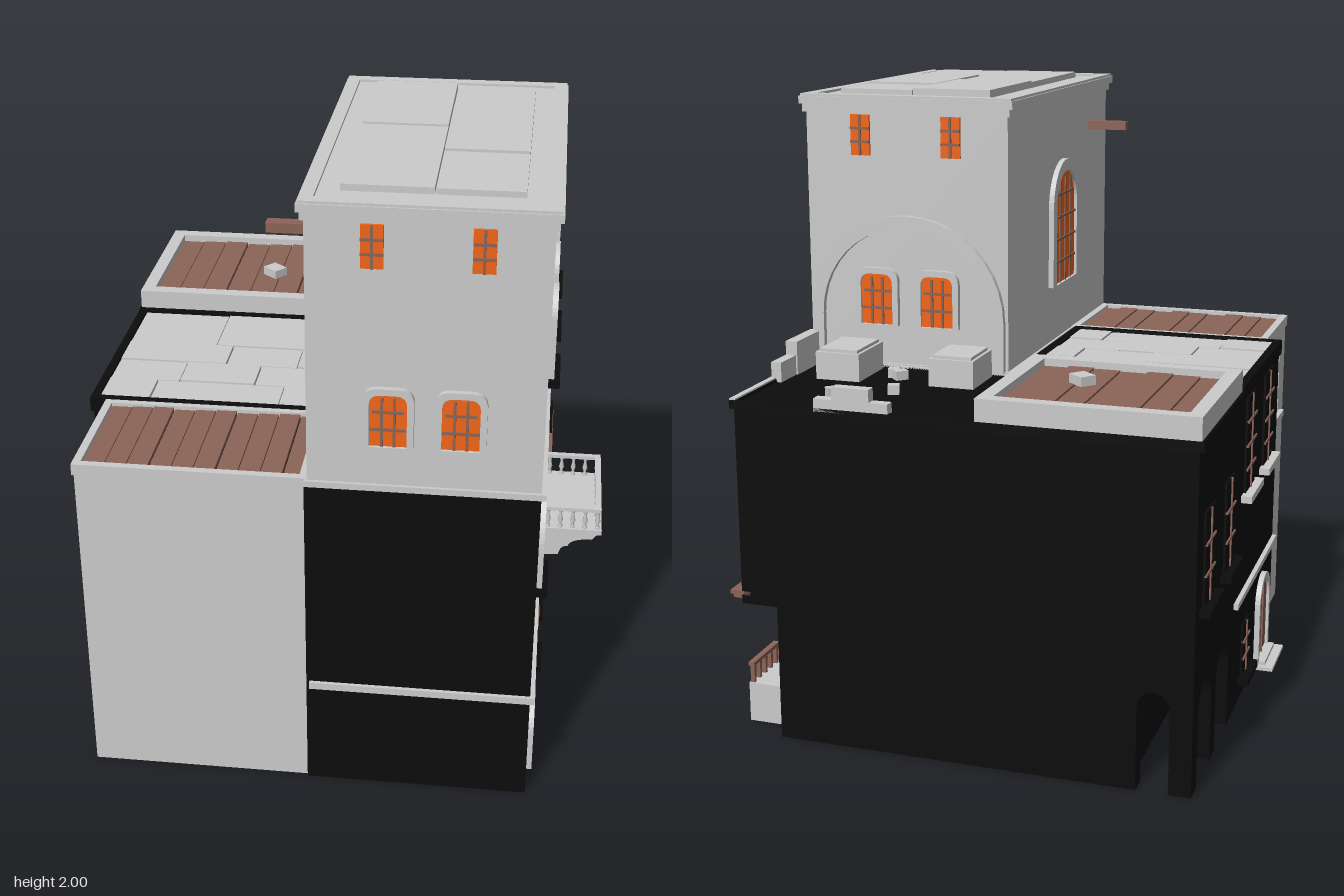
import * as THREE from 'three';

const mat = (color) => new THREE.MeshStandardMaterial({ color, side: THREE.DoubleSide });

export function createModel() {
  const model = new THREE.Group();
  const grey = mat(0xcccccc), black = mat(0x0c0c0c), brown = mat(0x8c6457), orange = mat(0xf36517), blue = mat(0x3a7a9a);

  const add = (name, geo, m, parent = model) => {
    const mesh = new THREE.Mesh(geo, m);
    mesh.name = name;
    parent.add(mesh);
    return mesh;
  };
  const box = (name, x0, x1, y0, y1, z0, z1, m, parent) => {
    const b = add(name, new THREE.BoxGeometry(x1 - x0, y1 - y0, z1 - z0), m, parent);
    b.position.set((x0 + x1) / 2, (y0 + y1) / 2, (z0 + z1) / 2);
    return b;
  };
  // Open wall strip along a path of [x, z] points
  const wall = (name, pts, y0, y1, m) => {
    const v = [];
    for (let i = 0; i < pts.length - 1; i++) {
      const [ax, az] = pts[i], [bx, bz] = pts[i + 1];
      v.push(ax, y0, az, bx, y0, bz, bx, y1, bz, ax, y0, az, bx, y1, bz, ax, y1, az);
    }
    const g = new THREE.BufferGeometry();
    g.setAttribute('position', new THREE.Float32BufferAttribute(v, 3));
    g.computeVertexNormals();
    return add(name, g, m);
  };
  // Square rim of four bars around a roof
  const rim = (name, x0, x1, y0, y1, z0, z1, t, m) => {
    box(name, x0, x1, y0, y1, z0, z0 + t, m);
    box(name, x0, x1, y0, y1, z1 - t, z1, m);
    box(name, x0, x0 + t, y0, y1, z0 + t, z1 - t, m);
    box(name, x1 - t, x1, y0, y1, z0 + t, z1 - t, m);
  };
  const extrude = (shape, depth) => new THREE.ExtrudeGeometry(shape, { depth, bevelEnabled: false, curveSegments: 10 });

  // Opening outline: flat, soft, round or pointed head
  const opening = (Type, w, h, head, y = 0) => {
    const s = new Type(), a = w / 2, t = y + h;
    s.moveTo(-a, y);
    s.lineTo(a, y);
    if (head === 'round') s.absarc(0, t - a, a, 0, Math.PI, false);
    else if (head === 'pointed') {
      s.lineTo(a, t - w);
      s.quadraticCurveTo(a, t - w * 0.4, 0, t);
      s.quadraticCurveTo(-a, t - w * 0.4, -a, t - w);
    } else {
      const r = head === 'soft' ? w * 0.3 : 0;
      s.lineTo(a, t - r);
      if (r) s.quadraticCurveTo(a, t, a - r, t);
      else s.lineTo(a, t);
      s.lineTo(-a + r, t);
      if (r) s.quadraticCurveTo(-a, t, -a, t - r);
    }
    s.closePath();
    return s;
  };
  // Window or door in its own group, facing local +z
  const window_ = (name, pos, turn, w, h, o = {}) => {
    const { head = 'flat', pane = black, frame = null, t = 0.02, cols = 2, rows = 3, bars = brown, sill = null } = o;
    const g = new THREE.Group();
    g.name = name;
    g.position.set(...pos);
    g.rotation.y = turn;
    model.add(g);
    add('pane', extrude(opening(THREE.Shape, w, h, head), 0.03), pane, g).position.z = -0.022;
    if (frame) {
      const s = opening(THREE.Shape, w + 2 * t, h + t, head);
      s.holes.push(opening(THREE.Path, w, h - 0.002, head, 0.002));
      add('frame', extrude(s, 0.03), frame, g).position.z = -0.012;
    }
    const thin = 0.004;
    for (let i = 1; i < cols; i++) {
      const x = -w / 2 + (w * i) / cols;
      const drop = cols === 2 || head === 'flat' ? 0 : w * 0.1;
      box('upright bar', x - thin, x + thin, 0, h - drop, 0.004, 0.013, bars, g);
    }
    for (let i = 1; i < rows; i++) {
      const y = (h * i) / rows, k = head === 'flat' || i < rows - 1 ? 0.5 : 0.42;
      box('cross bar', -w * k, w * k, y - thin, y + thin, 0.004, 0.013, bars, g);
    }
    if (sill) box('sill', -w / 2 - 0.035, w / 2 + 0.035, -0.02, 0.003, -0.01, 0.035, sill, g);
    return g;
  };
  const R = Math.PI / 2, L = -Math.PI / 2, B = Math.PI;

  // Hollow outer walls
  wall('mainWall', [[-0.05, 0.87], [0.65, 0.87], [0.65, -0.29], [0.53, -0.29], [0.53, -0.87], [-0.6, -0.87], [-0.6, -0.28], [-0.8, -0.28], [-0.8, 0.43], [-0.75, 0.43]], 0, 0.45, black);
  wall('upperWall', [[-0.05, 0.87], [0.65, 0.87], [0.65, -0.87], [-0.8, -0.87], [-0.8, 0.43], [-0.75, 0.43]], 0.45, 1.09, black);
  wall('annexWall', [[-0.75, 0.43], [-0.75, 0.86], [-0.05, 0.86]], 0, 1.09, grey);
  box('backSoffit', -0.8, 0.65, 0.44, 0.46, -0.87, -0.28, black);
  box('terraceFloor', -0.14, 0.65, 1.07, 1.09, -0.87, -0.29, black);
  rim('terraceEdge', -0.14, 0.662, 1.075, 1.1, -0.88, -0.28, 0.02, black);
  box('terraceCoping', 0.645, 0.665, 1.09, 1.105, -0.87, -0.3, grey);

  // Porch arcade under the back corner
  const arcade = (len, n) => {
    const s = new THREE.Shape(), p = 0.07, w = (len - p) / n - p, r = w / 2;
    s.moveTo(0, 0);
    s.lineTo(0, 0.45);
    s.lineTo(len, 0.45);
    s.lineTo(len, 0);
    for (let i = n - 1; i >= 0; i--) {
      const x = p + i * (w + p);
      s.lineTo(x + w, 0);
      s.absarc(x + r, 0.32 - r, r, 0, Math.PI, false);
      s.lineTo(x, 0);
    }
    return extrude(s, 0.06);
  };
  const side = add('sideArcade', arcade(0.59, 2), black);
  side.position.set(-0.8, 0, -0.28);
  side.rotation.y = R;
  add('backArcade', arcade(0.24, 1), black).position.set(-0.8, 0, -0.87);

  // Left roofs: planked annex, paved middle, planked back block
  const planks = (name, x0, x1, y, z0, z1, n) => {
    box(name + 'Base', x0, x1, y - 0.03, y - 0.008, z0, z1, black);
    const w = (x1 - x0) / n;
    for (let i = 0; i < n; i++) box(name, x0 + i * w + 0.002, x0 + (i + 1) * w - 0.002, y - 0.015, y + 0.003 * (i % 3), z0, z1, brown);
  };
  planks('annexPlank', -0.73, -0.05, 1.095, 0.46, 0.84, 10);
  rim('annexCoping', -0.755, -0.04, 1.07, 1.107, 0.435, 0.868, 0.025, grey);
  planks('backPlank', -0.77, -0.17, 1.145, -0.84, -0.32, 7);
  rim('backParapet', -0.807, -0.13, 1.09, 1.17, -0.875, -0.285, 0.045, grey);
  rim('backParapetFoot', -0.815, -0.13, 1.07, 1.1, -0.882, -0.28, 0.03, black);
  box('middleRoofBase', -0.8, -0.05, 1.06, 1.085, -0.28, 0.43, black);
  rim('middleRoofEdge', -0.808, -0.055, 1.06, 1.108, -0.28, 0.438, 0.027, black);
  const rows = [-0.26, -0.01, 0.13, 0.27, 0.41], splits = [[-0.48], [-0.42, -0.18], [-0.55, -0.3], [-0.62, -0.2]];
  splits.forEach((cuts, r) => {
    const xs = [-0.782, ...cuts, -0.08];
    for (let i = 0; i < xs.length - 1; i++)
      box('roofPaving', xs[i] + 0.002, xs[i + 1] - 0.002, 1.08, 1.1 + 0.004 * ((i + r) % 2), rows[r] + 0.002, rows[r + 1] - 0.002, grey);
  });

  // Tower
  box('tower', -0.04, 0.65, 1.09, 1.94, -0.29, 0.87, grey);
  box('towerLedge', -0.048, 0.665, 1.085, 1.105, -0.3, 0.88, grey);
  box('lowerCornice', -0.05, 0.66, 1.925, 1.95, -0.3, 0.88, grey);
  box('upperCornice', -0.06, 0.67, 1.95, 1.975, -0.305, 0.888, grey);
  rim('corniceLip', -0.055, 0.665, 1.97, 1.983, -0.3, 0.883, 0.04, grey);
  for (const [x0, x1, z0, z1, y] of [[0.05, 0.312, -0.2, 0.233, 2], [0.05, 0.312, 0.237, 0.77, 1.995], [0.316, 0.565, -0.2, 0.02, 1.994], [0.316, 0.565, 0.024, 0.45, 2], [0.316, 0.565, 0.454, 0.77, 1.993]])
    box('towerRoofSlab', x0, x1, 1.97, y, z0, z1, grey);
  box('beam', -0.18, -0.03, 1.8, 1.83, 0.63, 0.67, brown);

  // Tower windows
  const lit = { pane: orange, frame: grey, cols: 3, rows: 4 };
  for (const z of [0.62, 0.3, -0.03]) window_('towerArchedWindow', [0.65, 1.39, z], R, 0.12, 0.25, { ...lit, head: 'round', sill: black });
  for (const [z, turn] of [[0.87, 0], [-0.29, B]]) {
    for (const x of [0.2, 0.41]) window_('towerLowWindow', [x, 1.235, z], turn, 0.11, 0.17, { ...lit, head: 'soft', rows: 3 });
    for (const x of [0.15, 0.46]) window_('towerHighWindow', [x, 1.79, z], turn, 0.065, 0.13, { pane: orange });
  }
  window_('towerLargeWindow', [-0.04, 1.3, 0.31], L, 0.24, 0.39, { ...lit, head: 'round', t: 0.04, cols: 4, rows: 5 });
  const relief = opening(THREE.Shape, 0.67, 0.5, 'round');
  relief.holes.push(opening(THREE.Path, 0.59, 0.459, 'round', 0.001));
  add('reliefArch', extrude(relief, 0.03), grey).position.set(0.305, 1.1, -0.31);

  // Bands
  box('frontBand', -0.04, 0.662, 0.355, 0.378, 0.86, 0.882, grey);
  box('rightBand', 0.64, 0.665, 0.355, 0.378, -0.295, 0.882, grey);
  box('leftBand', -0.815, -0.79, 0.37, 0.39, -0.28, 0.43, grey);

  // Right wall openings
  window_('archedDoorway', [0.65, 0, 0.66], R, 0.145, 0.21, { head: 'round', frame: grey, cols: 1, rows: 1 });
  window_('pointedWindow', [0.65, 0.68, 0.65], R, 0.115, 0.26, { head: 'pointed', frame: grey, t: 0.018, sill: black });
  window_('balconyDoor', [0.65, 0.62, 0.07], R, 0.13, 0.24, { head: 'round', frame: grey, cols: 1, rows: 1 });
  window_('tallWindow', [0.65, 0.61, -0.575], R, 0.15, 0.28, { sill: black });
  for (const [x, y, z] of [[0.65, 0.08, 0.23], [0.65, 0.08, -0.08], [0.53, 0.2, -0.425]]) {
    const g = window_('smallWindow', [x, y, z], R, 0.085, 0.155, { sill: black });
    box('lintel', -0.055, 0.055, 0.155, 0.17, -0.005, 0.02, brown, g);
  }
  const door = window_('stairDoor', [0.53, 0.13, -0.705], R, 0.13, 0.21, { head: 'round', pane: brown, frame: grey, rows: 1 });
  box('doorBolt', -0.05, 0.05, 0.11, 0.118, 0.005, 0.016, blue, door);

  // Left wall openings
  for (const z of [-0.1, 0.22]) window_('leftTallWindow', [-0.8, 0.73, z], L, 0.15, 0.32, { sill: grey, rows: 4 });
  for (const z of [-0.72, -0.42]) window_('leftBackWindow', [-0.8, 0.57, z], L, 0.13, 0.29, { sill: black });
  window_('leftSmallWindow', [-0.8, 0.08, -0.08], L, 0.11, 0.18, { sill: black });
  window_('annexWindow', [-0.75, 0.79, 0.58], L, 0.12, 0.26, { head: 'round', pane: brown, frame: grey, sill: grey });
  window_('leftDoor', [-0.8, 0.02, 0.22], L, 0.16, 0.28, { head: 'round', pane: brown, frame: grey, rows: 1 });
  box('doorStep', -0.84, -0.79, 0, 0.025, 0.13, 0.31, grey);
  box('doorStep', -0.87, -0.79, 0, 0.012, 0.11, 0.33, grey);

  // Balcony with turned balusters
  box('balconySlab', 0.64, 0.86, 0.605, 0.622, -0.125, 0.265, grey);
  const corbel = new THREE.Shape();
  corbel.moveTo(0, 0.51);
  corbel.lineTo(0.07, 0.515);
  corbel.quadraticCurveTo(0.075, 0.55, 0.1, 0.55);
  corbel.quadraticCurveTo(0.11, 0.58, 0.18, 0.58);
  corbel.lineTo(0.2, 0.605);
  corbel.lineTo(0, 0.605);
  add('balconyCorbel', extrude(corbel, 0.37), grey).position.set(0.65, 0, -0.115);
  const profile = [[0.008, 0], [0.008, 0.008], [0.004, 0.014], [0.009, 0.028], [0.004, 0.052], [0.007, 0.06], [0.007, 0.068]];
  const balusterGeo = new THREE.LatheGeometry(profile.map((p) => new THREE.Vector2(...p)), 8);
  const baluster = (x, z) => add('baluster', balusterGeo, grey).position.set(x, 0.622, z);
  for (let i = 0; i < 10; i++) baluster(0.845, -0.11 + i * 0.04);
  for (const z of [-0.11, 0.25]) {
    for (let i = 0; i < 4; i++) baluster(0.68 + i * 0.041, z);
    box('balconySideRail', 0.65, 0.855, 0.688, 0.7, z - 0.01, z + 0.01, grey);
  }
  box('balconyFrontRail', 0.835, 0.855, 0.688, 0.7, -0.12, 0.26, grey);

  // Awning and outside stair
  box('awning', 0.62, 0.69, 0.467, 0.48, -0.87, -0.28, brown);
  for (let i = 0; i < 7; i++) box('awningRib', 0.6, 0.685, 0.452, 0.467, -0.86 + i * 0.09, -0.845 + i * 0.09, brown);
  for (let i = 0; i < 6; i++) box('stairStep', 0.53, 0.68, 0, 0.022 * (i + 1), -0.79, -0.435 - i * 0.032, grey);
  const post = (y, z) => box('stairPost', 0.662, 0.676, y, y + 0.07, z - 0.006, z + 0.006, brown);
  for (let i = 0; i < 5; i++) post(0.022 * (i + 1), -0.45 - i * 0.034);
  for (let i = 0; i < 5; i++) post(0.13, -0.62 - i * 0.04);
  box('landingRail', 0.66, 0.68, 0.19, 0.203, -0.79, -0.61, brown);
  const rail = box('slopingRail', 0.66, 0.68, 0.135, 0.149, -0.63, -0.425, brown);
  rail.rotation.x = 0.58;

  // Broken parapets, crates and rubble
  box('brokenParapet', 0.62, 0.66, 1.09, 1.2, -0.48, -0.29, grey);
  box('brokenParapet', 0.625, 0.66, 1.09, 1.155, -0.59, -0.48, grey);
  box('brokenBackParapet', 0.14, 0.38, 1.09, 1.13, -0.88, -0.845, grey);
  box('brokenBackParapet', 0.2, 0.32, 1.13, 1.17, -0.88, -0.845, grey);
  for (const [x0, x1, z0] of [[0.01, 0.16, -0.49], [0.39, 0.54, -0.51]]) {
    box('crate', x0, x1, 1.09, 1.18, z0, -0.31, grey);
    box('crateLid', x0 + 0.01, x1 - 0.01, 1.18, 1.19, z0 + 0.01, -0.32, grey);
  }
  for (const [x, y, z, s, a] of [[0.23, 1.1, -0.61, 0.03, 0.3], [0.4, 1.1, -0.7, 0.03, 0.7], [0.28, 1.1, -0.43, 0.035, 0.8], [0.31, 1.1, -0.41, 0.03, 0.2], [-0.36, 1.16, -0.535, 0.055, -0.7]])
    box('rubble', x - s * 0.6, x + s * 0.6, y - 0.01, y + 0.02, z - s / 2, z + s / 2, grey).rotation.y = a;

  return model;
}
